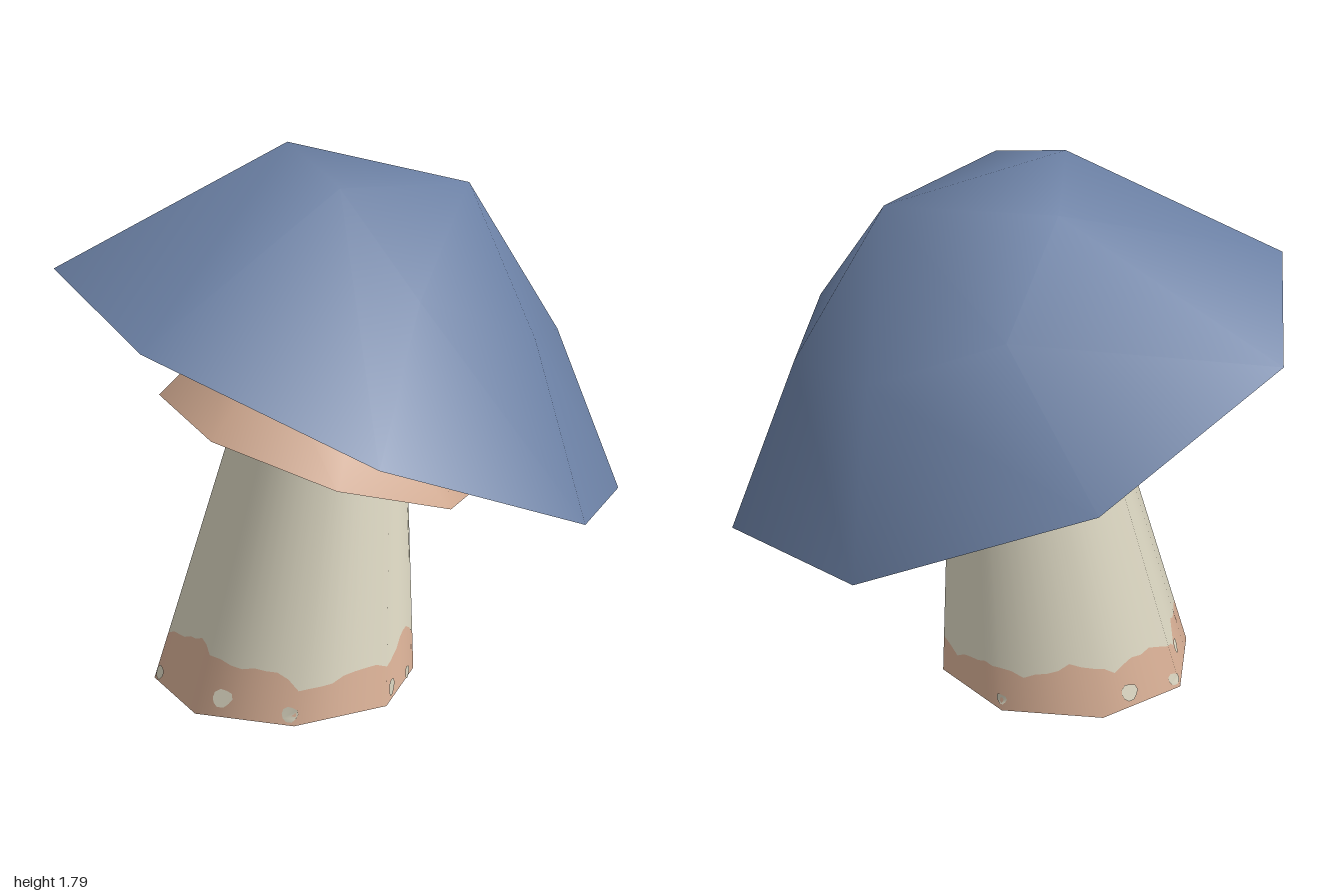
import * as THREE from 'three';

const V = (x, y, z) => new THREE.Vector3(x, y, z);
const mat = (name, color) => {
  const m = new THREE.MeshStandardMaterial({ color, side: THREE.DoubleSide });
  m.name = name;
  return m;
};
const SIDES = 8;

// Octagonal ring spanned from its low-side to its high-side end, with half depth r in z
function ring(right, left, r) {
  return Array.from({ length: SIDES }, (_, i) => {
    const a = (i / SIDES) * Math.PI * 2;
    const t = (1 + Math.cos(a)) / 2;
    return V(left[0] + (right[0] - left[0]) * t, left[1] + (right[1] - left[1]) * t, r * Math.sin(a));
  });
}

// Skin between closed rings (lowest first), optionally closed by an apex point
function loft(rings, apex, normals) {
  const n = rings[0].length, pts = rings.flat(), index = [];
  for (let k = 0; k < rings.length - 1; k++)
    for (let i = 0; i < n; i++) {
      const j = (i + 1) % n, a = k * n, b = a + n;
      index.push(a + i, b + i, b + j, a + i, b + j, a + j);
    }
  if (apex) {
    const b = (rings.length - 1) * n;
    for (let i = 0; i < n; i++) index.push(b + i, pts.length, b + ((i + 1) % n));
    pts.push(apex);
  }
  const g = new THREE.BufferGeometry().setFromPoints(pts);
  g.setIndex(index);
  g.computeVertexNormals();
  if (normals) g.setAttribute('normal', new THREE.Float32BufferAttribute(rings.flatMap(() => normals.flatMap(v => v.toArray())), 3));
  return g;
}

// Flat plate filling a ring, facing down
function plate(points) {
  const g = new THREE.BufferGeometry().setFromPoints(points);
  const index = [];
  for (let i = 1; i < points.length - 1; i++) index.push(0, i, i + 1);
  g.setIndex(index);
  g.computeVertexNormals();
  return g;
}

export function createModel() {
  const group = new THREE.Group();
  const blue = mat('cap blue', 0x6b80a4);
  const tan = mat('gill tan', 0xd9b096);
  const cream = mat('stem cream', 0xdcd7c2);
  const add = (name, geometry, material, parent = group) => {
    const m = new THREE.Mesh(geometry, material);
    m.name = name;
    parent.add(m);
    return m;
  };

  // Cap, in its own tilted frame: wide rim, a shoulder raised on the high side, off-centre apex
  const cap = new THREE.Group();
  cap.name = 'cap';
  cap.position.y = 1.01;
  cap.rotation.z = -0.401;
  group.add(cap);
  const rim = ring([1, 0], [-1, 0], 1);
  const shoulder = ring([0.58, 0.42], [-0.58, 0.42], 0.6);
  shoulder[3].set(-0.315, 0.615, 0.38);
  shoulder[4].set(-0.47, 0.648, 0);
  shoulder[5].set(-0.315, 0.615, -0.38);
  add('capTop', loft([rim, shoulder], V(0.116, 0.749, 0)), blue, cap);
  add('capUnderside', plate(rim), tan, cap);

  // Collar under the cap
  const collarRim = ring([0.45, 0.64], [-0.6, 0.98], 0.55);
  add('collar', loft([collarRim, ring([0.384, 0.885], [-0.36, 1.22], 0.39)]), tan);
  add('collarUnderside', plate(collarRim), tan);

  // Stem wall, addressed by u (corner number, 0 at +x and 2 at +z) and height y
  const foot = ring([0.235, 0], [-0.64, 0], 0.437);
  const neck = ring([0.207, 0.78], [-0.345, 0.94], 0.28);
  const corner = Array.from({ length: SIDES }, (_, i) =>
    V(Math.cos(i * Math.PI / 4), 0.18, Math.sin(i * Math.PI / 4)).normalize());
  const along = (list, u) => {
    const i = Math.floor(u), n = list.length;
    return list[(i + n) % n].clone().lerp(list[(i + 1 + n) % n], u - i);
  };
  const wall = (u, y) => {
    const low = along(foot, u), high = along(neck, u);
    return low.lerp(high, y / high.y);
  };

  // Ragged edge of the tan foot, in hundredths, four steps to a side
  const edge = [13, 18, 17, 14, 13, 14, 13, 11, 11, 16, 16.5, 16.5, 19, 22, 20, 18,
    16, 15, 17, 11, 15, 17, 16, 13, 17, 18, 14, 12, 15, 14, 12, 9];
  const STEPS = edge.length * 2;
  const us = Array.from({ length: STEPS }, (_, i) => (i * SIDES) / STEPS);
  const normals = us.map(u => along(corner, u).normalize());
  const line = us.map((u, i) => {
    const a = edge[i >> 1], b = edge[((i + 1) >> 1) % edge.length];
    return wall(u, (a + b) / 200 + (i % 2 ? 0.008 * Math.sin(i * 2.3) : 0));
  });
  add('stemFoot', loft([us.map(u => wall(u, 0)), line], null, normals), tan);
  add('stem', loft([line, us.map(u => along(neck, u))], null, normals), cream);

  // Cream spots on both faces of the foot: [u, y, radius]
  const spots = [[2.76, 0.06, 0.036], [2.06, 0.035, 0.03], [0.85, 0.045, 0.034], [0.28, 0.022, 0.026],
    [7, 0.04, 0.022], [5.63, 0.05, 0.036], [5.06, 0.035, 0.026], [4.7, 0.1, 0.03], [3.9, 0.03, 0.028]];
  for (const [u, y, r] of spots)
    for (const off of [0.004, -0.004]) {
      const pts = Array.from({ length: 10 }, (_, k) => {
        const a = (k / 10) * Math.PI * 2, q = r * (k % 3 ? 1 : 0.88);
        const uu = u + (q * Math.cos(a)) / 0.335;
        return wall(uu, Math.max(0.001, y + q * 0.85 * Math.sin(a)))
          .addScaledVector(along(corner, uu).normalize(), off);
      });
      const g = plate(pts.reverse());
      add('footSpot', g, cream);
    }

  return group;
}
